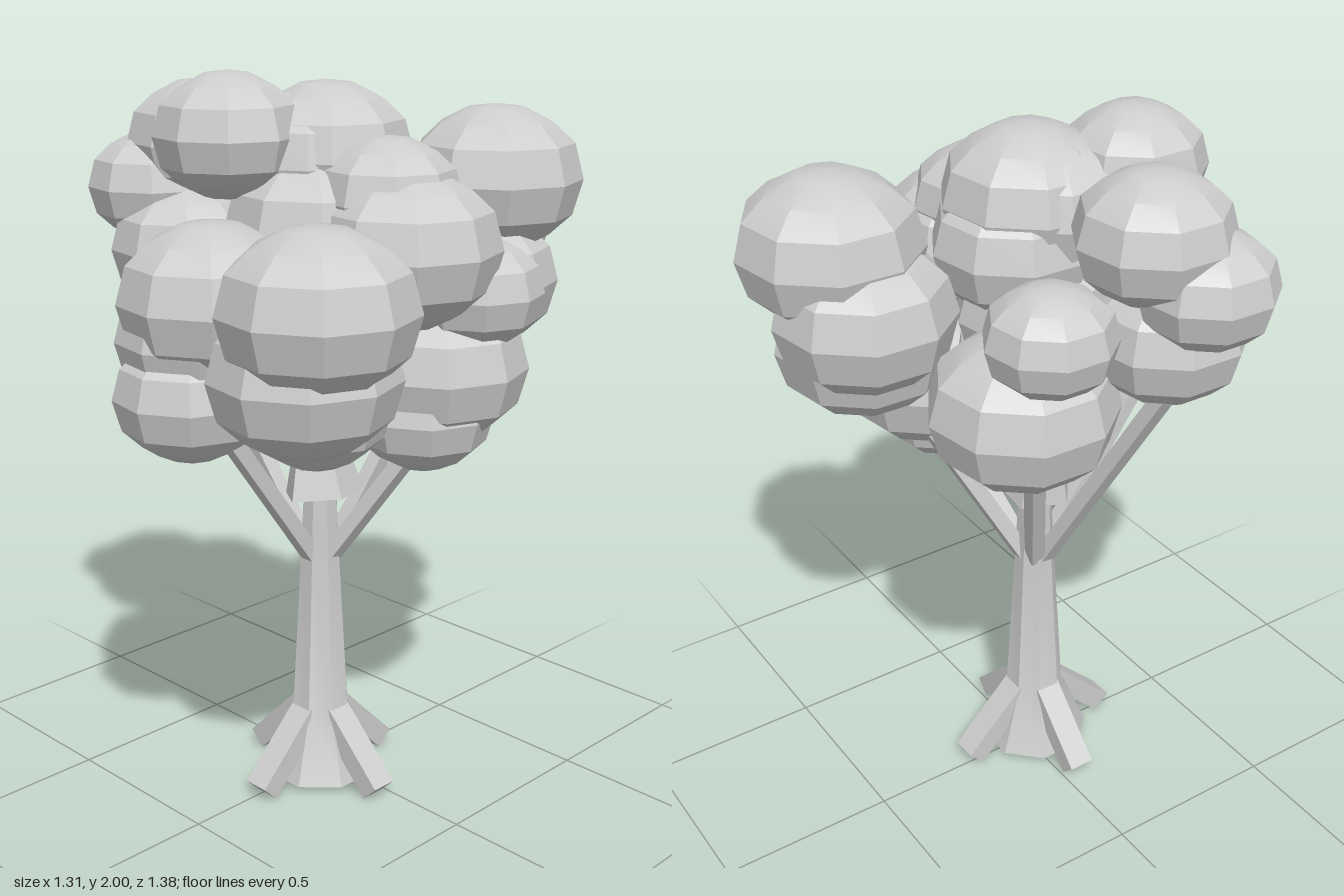
import * as THREE from 'three';
import { toCreasedNormals } from 'three/addons/utils/BufferGeometryUtils.js';

export function createModel() {
  const tree = new THREE.Group();
  tree.name = 'tree';
  const clay = new THREE.MeshStandardMaterial({ color: 0xcccccc });
  clay.name = 'pale grey';

  function add(geometry, name, parent = tree) {
    const mesh = new THREE.Mesh(geometry, clay);
    mesh.name = name;
    parent.add(mesh);
    return mesh;
  }

  // Faceted solid of revolution from [radius, height] pairs, bottom to top
  function turned(pairs, sides, crease) {
    const points = pairs.map(([r, y]) => new THREE.Vector2(r, y));
    return toCreasedNormals(new THREE.LatheGeometry(points, sides), crease);
  }

  // Box bar between two points
  function bar(name, from, to, width, depth) {
    const a = new THREE.Vector3(...from), b = new THREE.Vector3(...to);
    const mesh = add(new THREE.BoxGeometry(width, a.distanceTo(b), depth), name);
    mesh.position.copy(a).lerp(b, 0.5);
    mesh.quaternion.setFromUnitVectors(new THREE.Vector3(0, 1, 0), b.sub(a).normalize());
  }

  // Tapered eight-sided trunk with a flared foot
  const trunkProfile = [[0, 0.02], [0.16, 0.02], [0.084, 0.21], [0.055, 0.72], [0.03, 1.25], [0, 1.25]];
  const trunk = add(turned(trunkProfile, 8, 0.5), 'trunk');
  trunk.position.set(0.015, 0, 0.045);
  trunk.rotation.y = Math.PI / 8;

  // Skirt around the upper trunk where it enters the crown
  const skirt = add(toCreasedNormals(new THREE.CylinderGeometry(0.05, 0.115, 0.22, 5), 0.5), 'skirt');
  skirt.position.set(0.04, 0.98, 0.075);
  skirt.rotation.z = 0.15;

  // Four sloping roots
  for (let i = 0; i < 4; i++) {
    const pivot = new THREE.Group();
    pivot.name = 'root';
    pivot.position.set(0.015, 0, 0.045);
    pivot.rotation.y = i * Math.PI / 2;
    const root = add(new THREE.BoxGeometry(0.27, 0.062, 0.075), 'rootBar', pivot);
    root.position.set(0.138, 0.118, 0);
    root.rotation.z = -Math.PI / 4;
    tree.add(pivot);
  }

  // Branches reaching into the clumps
  const tips = [
    [-0.4, 1.38, 0.18], [0.3, 1.08, -0.09], [0.03, 1.15, 0.43],
    [-0.24, 1.3, -0.13], [0.17, 1.35, -0.34],
  ];
  for (const tip of tips) {
    const angle = Math.atan2(tip[2] - 0.045, tip[0] - 0.015);
    const start = [0.015 + 0.035 * Math.cos(angle), 0.68, 0.045 + 0.035 * Math.sin(angle)];
    bar('branch', start, tip, 0.042, 0.042);
  }

  // Leaf clumps: x, y, z, radius
  const clumps = [
    // front
    [0.415, 1.49, 0.445, 0.245], [0.35, 1.32, 0.425, 0.24],
    [0.04, 1.46, 0.44, 0.24], [0.0, 1.36, 0.45, 0.215], [0.01, 1.22, 0.49, 0.2],
    // left side
    [0.2, 1.18, 0.24, 0.195], [0.27, 1.23, -0.14, 0.245], [0.27, 1.115, -0.09, 0.19],
    [0.37, 1.44, -0.175, 0.178], [0.31, 1.57, 0.03, 0.245], [0.245, 1.69, 0.03, 0.19],
    // back
    [0.195, 1.69, -0.45, 0.243], [0.11, 1.53, -0.41, 0.24], [0.185, 1.42, -0.38, 0.235],
    // centre
    [0.015, 1.78, 0.02, 0.23], [-0.02, 1.765, 0.07, 0.22], [-0.085, 1.84, 0.27, 0.194],
    [0.06, 1.6, 0.1, 0.245], [0.0, 1.67, -0.03, 0.22], [-0.04, 1.49, 0.02, 0.225],
    [0.0, 1.3, 0.02, 0.22],
    // right side
    [-0.38, 1.79, 0.11, 0.203], [-0.475, 1.67, 0.2, 0.182], [-0.36, 1.51, 0.18, 0.212],
    [-0.33, 1.57, -0.15, 0.17], [-0.22, 1.335, -0.155, 0.25],
  ];
  // Nine-sided ball with a smooth dome above and below two faceted bands
  const dome = [[0, 0.83], [0.32, 0.79], [0.64, 0.63], [0.89, 0.4]];
  const ballProfile = [...dome.map(([r, y]) => [r, -y]), [1, 0], ...dome.slice().reverse()];
  const ball = turned(ballProfile, 9, 0.48);
  const crown = new THREE.Group();
  crown.name = 'crown';
  for (const [x, y, z, r] of clumps) {
    const clump = add(ball, 'leafClump', crown);
    clump.position.set(x, y, z);
    clump.scale.setScalar(r);
    clump.rotation.y = 0.16;
  }
  tree.add(crown);
  return tree;
}
